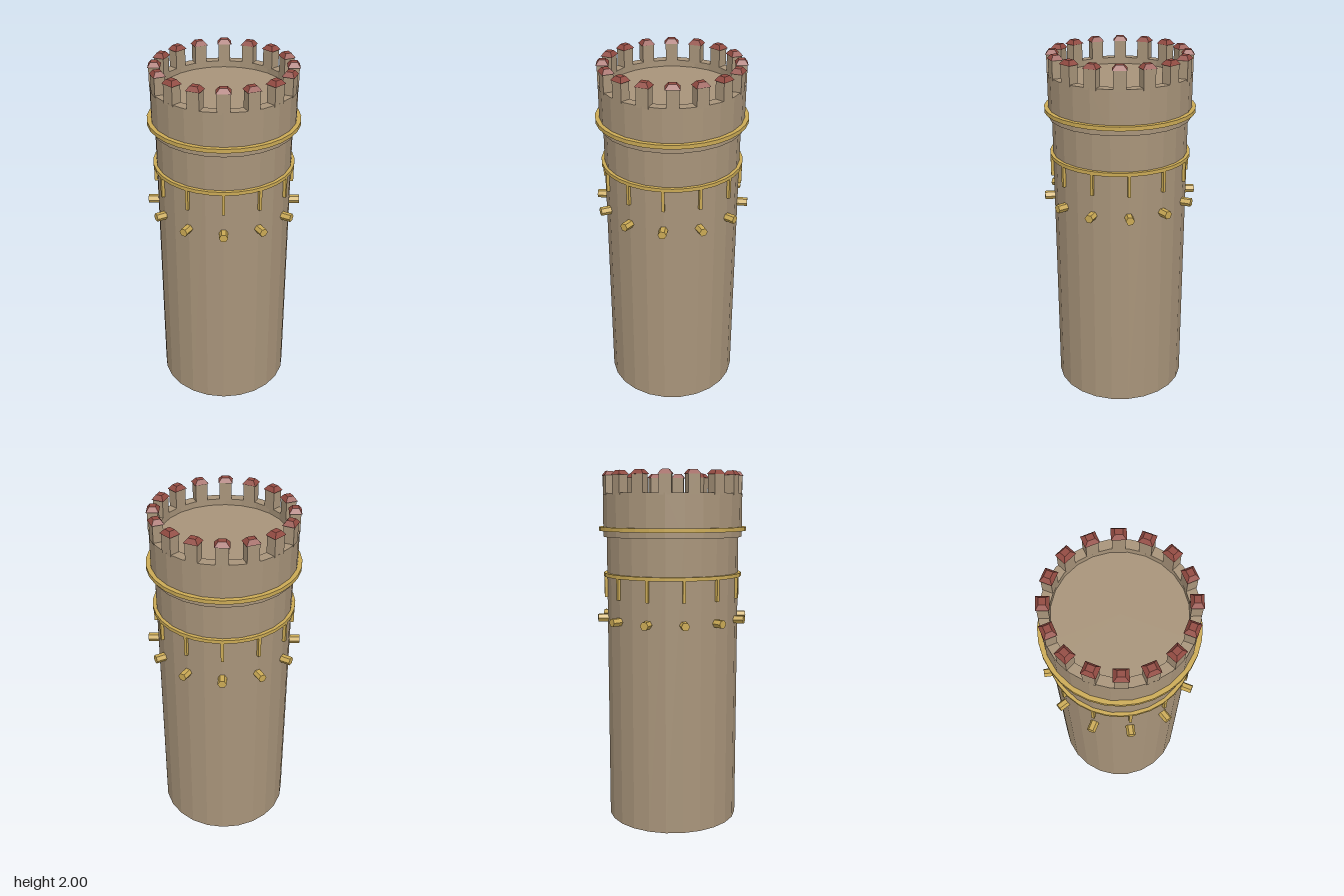
import * as THREE from 'three';

const stone = new THREE.MeshStandardMaterial({ color: 0xa8947a });
stone.name = 'stone';
const brass = new THREE.MeshStandardMaterial({ color: 0xcbaa55 });
brass.name = 'brass';
const tile = new THREE.MeshStandardMaterial({ color: 0x934b42 });
tile.name = 'redTile';

function add(parent, name, geometry, material, x = 0, y = 0, z = 0) {
  // non-indexed geometry with face normals gives crisp facets
  const flat = geometry.index ? geometry.toNonIndexed() : geometry;
  flat.computeVertexNormals();
  const mesh = new THREE.Mesh(flat, material);
  mesh.name = name;
  mesh.position.set(x, y, z);
  parent.add(mesh);
  return mesh;
}

// Closed ring with a rectangular cross-section
function band(inner, outer, y0, y1, sides) {
  const profile = [[inner, y0], [outer, y0], [outer, y1], [inner, y1], [inner, y0]];
  return new THREE.LatheGeometry(profile.map(([r, y]) => new THREE.Vector2(r, y)), sides);
}

// Repeats a part around the tower; build() works at the +z side
function around(parent, name, count, build) {
  for (let i = 0; i < count; i++) {
    const group = new THREE.Group();
    group.name = name;
    group.rotation.y = (i / count) * Math.PI * 2;
    build(group);
    parent.add(group);
  }
}

// Tapered rectangular block standing on y = 0
function frustum(width, depth, height, taperX, taperZ) {
  const geometry = new THREE.BoxGeometry(width, height, depth);
  geometry.translate(0, height / 2, 0);
  const p = geometry.attributes.position;
  for (let i = 0; i < p.count; i++) {
    if (p.getY(i) > height / 2) {
      p.setX(i, p.getX(i) * taperX);
      p.setZ(i, p.getZ(i) * taperZ);
    }
  }
  return geometry;
}

export function createModel() {
  const tower = new THREE.Group();
  tower.name = 'tower';

  // Shaft, whose top is the sunken roof floor
  add(tower, 'shaft', new THREE.CylinderGeometry(0.375, 0.375, 1.64, 24), stone, 0, 0.82, 0);
  add(tower, 'roofFloor', new THREE.CylinderGeometry(0.35, 0.35, 0.225, 24), stone, 0, 1.7325, 0);
  add(tower, 'parapet', band(0.34, 0.394, 1.64, 1.88, 24), stone);

  // Brass bands
  add(tower, 'upperBand', band(0.38, 0.417, 1.673, 1.695, 32), brass);
  add(tower, 'lowerBand', band(0.36, 0.393, 1.418, 1.438, 32), brass);

  // Merlons with red caps
  around(tower, 'merlon', 16, (g) => {
    add(g, 'merlonBlock', new THREE.BoxGeometry(0.066, 0.106, 0.056), stone, 0, 1.923, 0.365);
    add(g, 'merlonCap', frustum(0.078, 0.067, 0.024, 0.5, 0.5), tile, 0, 1.976, 0.3645);
  });

  // Hanging strips below the lower band
  around(tower, 'hangingStrip', 12, (g) => {
    add(g, 'strip', new THREE.BoxGeometry(0.016, 0.125, 0.025), brass, 0, 1.3625, 0.3785);
  });

  // Six-sided pegs
  around(tower, 'peg', 12, (g) => {
    const peg = new THREE.CylinderGeometry(0.024, 0.024, 0.09, 6);
    peg.rotateY(Math.PI / 2);
    peg.rotateX(Math.PI / 2);
    add(g, 'pegBody', peg, brass, 0, 1.18, 0.385);
  });

  return tower;
}
